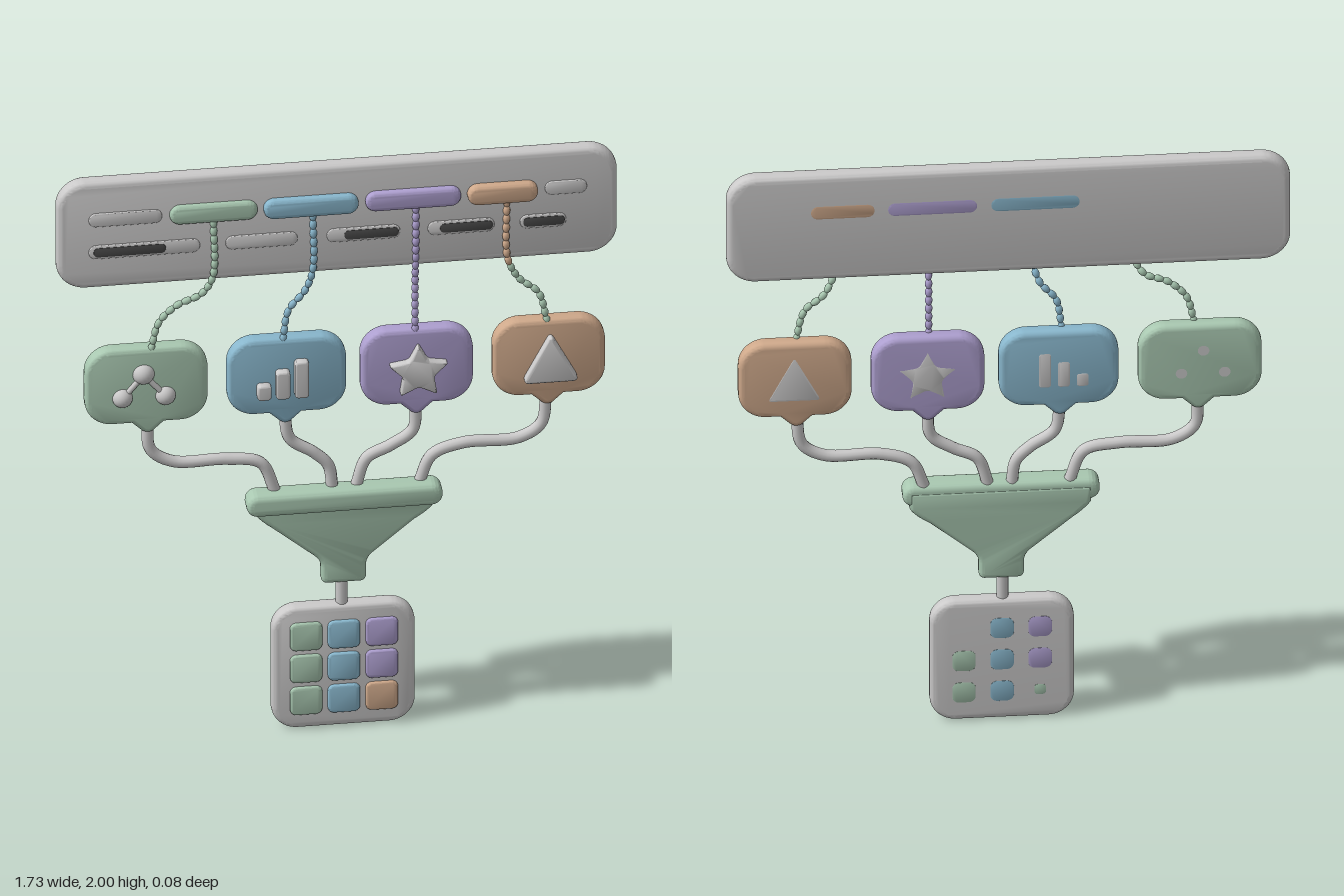
import * as THREE from 'three';
import { toCreasedNormals } from 'three/addons/utils/BufferGeometryUtils.js';

const flat = (name, color) => {
  const m = new THREE.MeshStandardMaterial({ color });
  m.name = name;
  return m;
};

const BACK = -0.042, FACE = 0.014, MID = -0.013;

// Rounded rectangle, with an optional rounded tail on the lower edge
function roundRect(x0, x1, y0, y1, r, tailX) {
  const s = new THREE.Shape();
  s.moveTo(x0 + r, y0);
  if (tailX !== undefined) {
    s.lineTo(tailX - 0.05, y0);
    s.lineTo(tailX - 0.018, y0 - 0.03);
    s.quadraticCurveTo(tailX, y0 - 0.042, tailX + 0.018, y0 - 0.03);
    s.lineTo(tailX + 0.05, y0);
  }
  s.lineTo(x1 - r, y0);
  s.absarc(x1 - r, y0 + r, r, -Math.PI / 2, 0);
  s.lineTo(x1, y1 - r);
  s.absarc(x1 - r, y1 - r, r, 0, Math.PI / 2);
  s.lineTo(x0 + r, y1);
  s.absarc(x0 + r, y1 - r, r, Math.PI / 2, Math.PI);
  s.lineTo(x0, y0 + r);
  s.absarc(x0 + r, y0 + r, r, Math.PI, Math.PI * 1.5);
  return s;
}

// Polygon whose corners are softened by the fraction k of each edge
function softPolygon(points, k) {
  const s = new THREE.Shape();
  points.forEach((p, i) => {
    const prev = points[(i + points.length - 1) % points.length];
    const next = points[(i + 1) % points.length];
    const a = p.clone().lerp(prev, k), b = p.clone().lerp(next, k);
    if (i) s.lineTo(a.x, a.y); else s.moveTo(a.x, a.y);
    s.quadraticCurveTo(p.x, p.y, b.x, b.y);
  });
  s.closePath();
  return s;
}

const polar = (cx, cy, r, a) => new THREE.Vector2(cx + r * Math.cos(a), cy + r * Math.sin(a));

export function createModel() {
  const root = new THREE.Group();
  const grey = flat('light grey', 0xcbcaca);
  const dark = flat('dark grey', 0x484848);
  const green = flat('sage green', 0xa9c8b1);
  const blue = flat('soft blue', 0x89b7cd);
  const purple = flat('lavender', 0xad9fcf);
  const orange = flat('tan orange', 0xcfa98b);

  const add = (name, geometry, material) => {
    const mesh = new THREE.Mesh(geometry, material);
    mesh.name = name;
    root.add(mesh);
    return mesh;
  };
  // Bevelled plate between two depths
  const slab = (name, shape, material, z0, z1, b) => {
    const g = new THREE.ExtrudeGeometry(shape, {
      depth: z1 - z0 - 2 * b, bevelThickness: b, bevelSize: b, bevelOffset: -b,
      bevelSegments: 5, curveSegments: 10,
    });
    g.translate(0, 0, z0 + b);
    return add(name, toCreasedNormals(g, 0.6), material);
  };
  const tube = (name, points, r, material, z = MID) => {
    const path = new THREE.CatmullRomCurve3(points.map(([x, y]) => new THREE.Vector3(x, y, z)));
    return add(name, new THREE.TubeGeometry(path, 40, r, 12), material);
  };

  // Wide top panel
  slab('topPanel', roundRect(-0.868, 0.865, 1.622, 2, 0.09), grey, BACK, FACE, 0.02);

  // Coloured pills; all but the first also show through the back
  const pills = [
    [-0.52, -0.248, green, -0.02, 0.03], [-0.23, 0.063, blue, -0.0425, 0.038],
    [0.085, 0.38, purple, -0.0425, 0.035], [0.4, 0.617, orange, -0.0425, 0.042],
  ];
  pills.forEach(([x0, x1, m, z0, z1]) =>
    slab('colourPill', roundRect(x0, x1, 1.835, 1.902, 0.033), m, z0, z1, 0.014));

  // Shallow grey pills and dark bars
  const shallow = [[-0.77, -0.543, 1.868], [0.64, 0.77, 1.868], [-0.77, -0.426, 1.754],
    [-0.347, -0.124, 1.754], [-0.034, 0.193, 1.754], [0.278, 0.484, 1.754], [0.563, 0.706, 1.754]];
  shallow.forEach(([x0, x1, y]) =>
    slab('greyPill', roundRect(x0, x1, y - 0.024, y + 0.024, 0.0235), grey, 0, 0.019, 0.004));
  [[-0.755, -0.532], [0.02, 0.188], [0.316, 0.479], [0.573, 0.701]].forEach(([x0, x1]) =>
    slab('darkBar', roundRect(x0, x1, 1.738, 1.77, 0.014), dark, 0.015, 0.0205, 0.001));

  // Beaded cords hanging from the pills to the bubbles
  const cords = [
    [[[-0.384, 1.83], [-0.386, 1.64], [-0.42, 1.57], [-0.495, 1.535], [-0.55, 1.48], [-0.574, 1.39]], green],
    [[[-0.077, 1.83], [-0.077, 1.64], [-0.1, 1.555], [-0.15, 1.49], [-0.167, 1.39]], blue],
    [[[0.241, 1.83], [0.241, 1.7], [0.241, 1.55], [0.241, 1.39]], purple],
    [[[0.522, 1.83], [0.525, 1.63], [0.563, 1.545], [0.622, 1.49], [0.648, 1.39]], orange],
  ];
  const bead = new THREE.SphereGeometry(1, 10, 8).scale(0.0115, 0.018, 0.0115);
  const up = new THREE.Vector3(0, 1, 0);
  cords.forEach(([pts, m]) => {
    const path = new THREE.CatmullRomCurve3(pts.map(([x, y]) =>
      new THREE.Vector3(x, y, y > 1.6 ? 0.016 : 0)));
    const n = Math.round(path.getLength() / 0.03);
    for (let i = 0; i <= n; i++) {
      const p = path.getPointAt(i / n);
      const mesh = add('cordBead', bead, m === orange && p.y < 1.62 ? green : m);
      mesh.position.copy(p);
      mesh.quaternion.setFromUnitVectors(up, path.getTangentAt(i / n));
    }
  });

  // Speech bubbles
  [[-0.78, -0.4, -0.585, green], [-0.34, 0.028, -0.16, blue],
    [0.072, 0.42, 0.245, purple], [0.48, 0.828, 0.65, orange]].forEach(([x0, x1, t, m]) =>
    slab('bubble', roundRect(x0, x1, 1.128, 1.395, 0.085, t), m, BACK, FACE, 0.018));

  // Icon: three linked nodes
  const nodes = [[-0.6, 1.305, 0.035], [-0.665, 1.225, 0.032], [-0.532, 1.225, 0.032]];
  nodes.forEach(([x, y, r]) => {
    add('iconNode', new THREE.SphereGeometry(r, 20, 14), grey).position.set(x, y, 0.041 - r);
    const dot = add('iconNodeBack', new THREE.CircleGeometry(0.018, 16), grey);
    dot.position.set(x, y, BACK - 0.0008);
    dot.rotation.y = Math.PI;
  });
  nodes.slice(1).forEach(([x, y]) => tube('iconLink', [[-0.6, 1.305], [x, y]], 0.009, grey, 0.016));

  // Icon: rising bars
  [[-0.251, 1.245], [-0.193, 1.29], [-0.135, 1.322]].forEach(([x, top]) =>
    slab('iconBar', roundRect(x, x + 0.044, 1.193, top, 0.012), grey, -0.0428, 0.04, 0.007));

  // Icons: star and triangle
  const star = [], tri = [];
  for (let i = 0; i < 10; i++) star.push(polar(0.248, 1.252, i % 2 ? 0.05 : 0.098, Math.PI * (0.5 + i / 5)));
  tri.push(new THREE.Vector2(0.568, 1.185), new THREE.Vector2(0.746, 1.185), new THREE.Vector2(0.657, 1.355));
  slab('iconStar', softPolygon(star, 0.18), grey, -0.0428, 0.04, 0.008);
  slab('iconTriangle', softPolygon(tri, 0.13), grey, -0.0428, 0.04, 0.008);

  // Pipes from the bubbles into the funnel, and its outlet
  [
    [[-0.585, 1.12], [-0.575, 1.02], [-0.505, 0.972], [-0.34, 0.967], [-0.235, 0.945], [-0.19, 0.84]],
    [[-0.161, 1.12], [-0.145, 1.025], [-0.07, 0.968], [-0.026, 0.92], [-0.013, 0.84]],
    [[0.246, 1.12], [0.235, 1.025], [0.167, 0.975], [0.093, 0.935], [0.06, 0.84]],
    [[0.648, 1.12], [0.632, 1.015], [0.563, 0.97], [0.39, 0.965], [0.295, 0.93], [0.256, 0.84]],
    [[0.016, 0.53], [0.016, 0.41]],
  ].forEach((pts) => tube('pipe', pts, 0.0185, grey));

  // Funnel
  const cone = new THREE.Shape();
  cone.moveTo(-0.26, 0.83);
  cone.lineTo(-0.256, 0.77);
  cone.quadraticCurveTo(-0.24, 0.745, -0.2, 0.715);
  cone.lineTo(-0.075, 0.61);
  cone.quadraticCurveTo(-0.05, 0.59, -0.05, 0.565);
  cone.lineTo(-0.05, 0.53);
  cone.quadraticCurveTo(-0.05, 0.507, -0.03, 0.507);
  cone.lineTo(0.07, 0.507);
  cone.quadraticCurveTo(0.09, 0.507, 0.09, 0.53);
  cone.lineTo(0.09, 0.565);
  cone.quadraticCurveTo(0.09, 0.59, 0.115, 0.61);
  cone.lineTo(0.24, 0.715);
  cone.quadraticCurveTo(0.29, 0.745, 0.302, 0.77);
  cone.lineTo(0.302, 0.83);
  slab('funnelBody', cone, green, BACK, FACE, 0.018);
  slab('funnelRim', roundRect(-0.283, 0.323, 0.776, 0.85, 0.035), green, -0.038, 0.042, 0.02);

  // Tray with a three by three grid of tiles
  slab('tray', roundRect(-0.203, 0.24, 0, 0.43, 0.08), grey, BACK, FACE, 0.018);
  const rows = [[green, blue, purple], [green, blue, purple], [green, blue, orange]];
  const backRows = [[purple, blue, null], [purple, blue, green], [green, blue, green]];
  rows.forEach((row, r) => row.forEach((m, c) => {
    const x = -0.098 + c * 0.117, y = 0.33 - r * 0.114;
    slab('tile', roundRect(x - 0.05, x + 0.05, y - 0.049, y + 0.049, 0.02), m, -0.01, 0.025, 0.008);
    const b = backRows[r][c];
    if (!b) return;
    const s = r === 2 && c === 0 ? 0.018 : 0.036;
    slab('tileBack', roundRect(x - s, x + s, y - s, y + s, s * 0.6), b, -0.0428, -0.04, 0.0005);
  }));

  return root;
}
